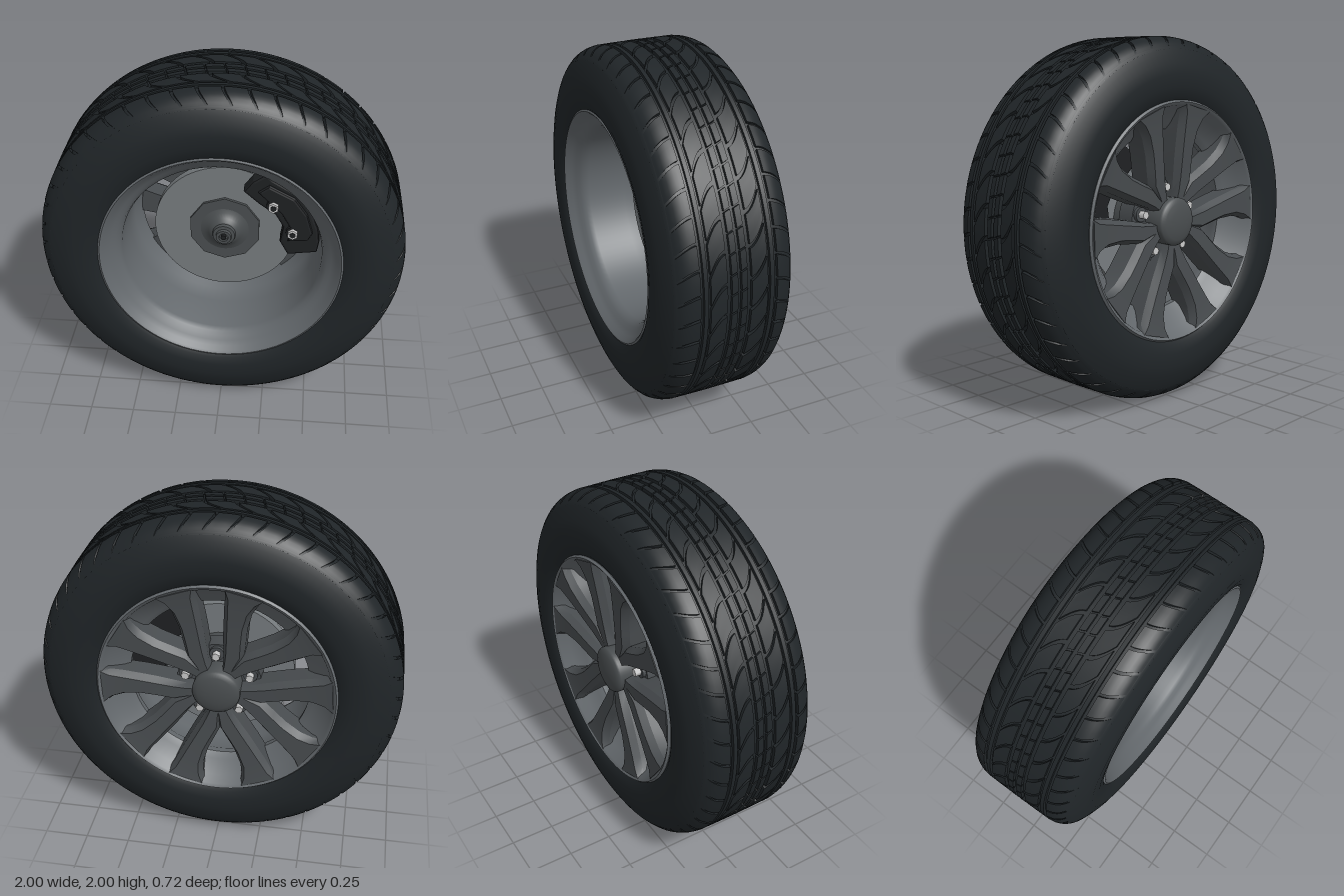
import * as THREE from 'three';
import { mergeGeometries, toCreasedNormals } from 'three/addons/utils/BufferGeometryUtils.js';

const mat = (color) => new THREE.MeshStandardMaterial({ color, side: THREE.DoubleSide });
const rubber = mat(0x202528), rimGrey = mat(0x64696d), spokeGrey = mat(0x484c4f);
const discGrey = mat(0x777c7f), hubGrey = mat(0x4a4e50), black = mat(0x1f2123), steel = mat(0xcccccc);

const V = (x, y, z) => new THREE.Vector3(x, y, z);
const polar = (r, a, z) => V(r * Math.cos(a), r * Math.sin(a), z);

function add(parent, name, geometry, material, x = 0, y = 0, z = 0) {
  const m = new THREE.Mesh(geometry, material);
  m.name = name;
  m.position.set(x, y, z);
  parent.add(m);
  return m;
}

// Closed solid through a list of equal-length loops, always wound outward
function loft(loops, crease = 0.5) {
  const pos = [], n = loops[0].length;
  let volume = 0;
  const tri = (a, b, c) => {
    pos.push(a, b, c);
    volume += a.dot(b.clone().cross(c));
  };
  for (let i = 0; i < loops.length - 1; i++) {
    for (let j = 0; j < n; j++) {
      const k = (j + 1) % n, A = loops[i], B = loops[i + 1];
      tri(A[j], A[k], B[k]);
      tri(A[j], B[k], B[j]);
    }
  }
  const first = loops[0], last = loops[loops.length - 1];
  for (let j = 1; j < n - 1; j++) {
    tri(first[0], first[j + 1], first[j]);
    tri(last[0], last[j], last[j + 1]);
  }
  if (volume < 0) for (let i = 0; i < pos.length; i += 3) [pos[i], pos[i + 1]] = [pos[i + 1], pos[i]];
  const g = new THREE.BufferGeometry().setFromPoints(pos);
  g.computeVertexNormals();
  return toCreasedNormals(g, crease);
}

// Surface of revolution about z from [radius, z] pairs
function turned(points, segments = 96, crease = 0.6) {
  const g = new THREE.LatheGeometry(points.map(([r, z]) => new THREE.Vector2(r, z)), segments);
  return toCreasedNormals(g.rotateX(Math.PI / 2), crease);
}

const disk = (r, h, n = 64) => new THREE.CylinderGeometry(r, r, h, n).rotateX(Math.PI / 2);

// Flat outline extruded along z with a small bevel
function plate(points, z0, z1, bevel) {
  const shape = new THREE.Shape(points.map(([x, y]) => new THREE.Vector2(x, y)));
  const g = new THREE.ExtrudeGeometry(shape, {
    depth: z1 - z0 - 2 * bevel, bevelThickness: bevel, bevelSize: bevel, bevelOffset: -bevel, bevelSegments: 2,
  });
  return g.translate(0, 0, z0 + bevel);
}

// Outer tread contour: radius at a given |z|
const contour = [[0, 1], [0.21, 0.998], [0.25, 0.989], [0.285, 0.97], [0.31, 0.942], [0.33, 0.9], [0.348, 0.85]];
function treadRadius(z) {
  const a = Math.abs(z);
  const i = Math.max(1, contour.findIndex(([q]) => q >= a));
  const [z0, r0] = contour[i - 1], [z1, r1] = contour[i];
  return r0 + (r1 - r0) * (a - z0) / (z1 - z0);
}
const DEPTH = 0.018;
const baseRadius = (z) => treadRadius(z) - DEPTH * THREE.MathUtils.clamp((0.318 - Math.abs(z)) / 0.09, 0, 1);

// One ring of slanted, curved tread blocks
function treadRow(z0, z1, count, gap, skew, bend) {
  const blocks = [], step = Math.PI * 2 / count, nz = 6, nt = 3;
  for (let b = 0; b < count; b++) {
    const loops = [];
    for (let i = 0; i <= nz; i++) {
      const t = i / nz, z = z0 + (z1 - z0) * t;
      const start = b * step + skew * (z - z0) + bend * t * t;
      const width = step - gap;
      const loop = [polar(baseRadius(z) - 0.006, start, z)];
      for (let j = 0; j <= nt; j++) loop.push(polar(treadRadius(z), start + width * j / nt, z));
      loop.push(polar(baseRadius(z) - 0.006, start + width, z));
      loops.push(loop);
    }
    blocks.push(loft(loops));
  }
  return mergeGeometries(blocks);
}

function buildTyre(wheel) {
  const tyre = new THREE.Group();
  tyre.name = 'tyre';
  wheel.add(tyre);
  const side = [[0.64, 0.29], [0.65, 0.325], [0.68, 0.345], [0.73, 0.357], [0.8, 0.36], [0.85, 0.348]];
  const crown = [0.33, 0.318, 0.31, 0.285, 0.25, 0.225, 0.2, 0.1].map((z) => [baseRadius(z), z]);
  const half = [...side, ...crown];
  const profile = [...half, ...half.map(([r, z]) => [r, -z]).reverse()].reverse();
  add(tyre, 'carcass', turned(profile, 128, 0.7), rubber);
  for (const s of [1, -1]) {
    add(tyre, 'shoulderBlocks', treadRow(s * 0.205, s * 0.316, 48, 0.016, -s * 0.15, -0.05), rubber);
    add(tyre, 'middleBlocks', treadRow(s * 0.065, s * 0.152, 38, 0.024, -0.3, -s * 0.08), rubber);
    add(tyre, 'centreBlocks', treadRow(s * 0.01, s * 0.042, 60, 0.01, -0.4, 0), rubber);
    const rib = [[0.97, 0.166], [0.998, 0.166], [0.998, 0.188], [0.97, 0.188]].map(([r, z]) => [r, s * z]);
    add(tyre, 'treadRib', turned(rib, 128), rubber);
  }
}

function buildRim(wheel) {
  add(wheel, 'rimBarrel', turned([
    [0.645, -0.3], [0.66, -0.335], [0.65, -0.347], [0.632, -0.335], [0.61, -0.28], [0.53, -0.23], [0.5, -0.2],
    [0.505, -0.16], [0.535, -0.11], [0.545, 0], [0.55, 0.22], [0.56, 0.25], [0.58, 0.27], [0.6, 0.285],
    [0.625, 0.305], [0.643, 0.33], [0.655, 0.34], [0.665, 0.335], [0.668, 0.3],
  ], 96, 0.9), rimGrey);

  // Spoke stations: radius, inner edge, outer edge, face z, rear z, bevel width
  const stations = [
    [0.11, 0.03, 0.078, -0.295, -0.14, 0.006], [0.17, 0.04, 0.108, -0.3, -0.14, 0.012],
    [0.25, 0.045, 0.155, -0.305, -0.15, 0.02], [0.34, 0.05, 0.17, -0.312, -0.16, 0.024],
    [0.42, 0.058, 0.182, -0.318, -0.165, 0.024], [0.52, 0.068, 0.212, -0.327, -0.18, 0.024],
    [0.59, 0.078, 0.25, -0.335, -0.24, 0.02], [0.64, 0.075, 0.29, -0.343, -0.29, 0.012],
  ];
  for (let k = 0; k < 5; k++) {
    const pair = new THREE.Group();
    pair.name = 'twinSpoke';
    pair.rotation.z = THREE.MathUtils.degToRad(-3 + 72 * k);
    wheel.add(pair);
    for (const s of [1, -1]) {
      const loops = stations.map(([r, a, b, face, rear, bevel]) => {
        const at = (x, z) => V(s * x, Math.sqrt(r * r - x * x), z);
        return [at(a, rear), at(a, face + 0.04), at(a + bevel, face), at(b - bevel, face),
          at(b, face + 0.04), at(b, rear)];
      });
      add(pair, 'spokeArm', loft(loops, 0.4), spokeGrey);
    }
    // Wheel nut in the root of the slot
    add(pair, 'nutSeat', disk(0.04, 0.03, 20), spokeGrey, 0, 0.187, -0.215);
    add(pair, 'wheelNut', disk(0.023, 0.06, 6), steel, 0, 0.187, -0.235);
  }
  add(wheel, 'wheelCentre', disk(0.235, 0.1, 48), spokeGrey, 0, 0, -0.16);
  // Domed centre cap
  add(wheel, 'centreCap', turned([
    [0.13, -0.2], [0.132, -0.318], [0.125, -0.328], [0.1, -0.338], [0.06, -0.346], [0, -0.35],
  ], 48, 0.9), hubGrey);
}

function buildBrake(wheel) {
  add(wheel, 'brakeDisc', disk(0.4, 0.05), discGrey, 0, 0, -0.03);
  add(wheel, 'discHat', disk(0.22, 0.1, 40), hubGrey, 0, 0, -0.09);
  // Ten-sided hub plate with a round, stepped axle stub
  add(wheel, 'hubPlate', disk(0.205, 0.022, 10), hubGrey);
  add(wheel, 'axleStub', turned([
    [0.14, 0.01], [0.115, 0.018], [0.09, 0.035], [0.075, 0.052], [0.066, 0.056], [0.062, 0.075], [0.045, 0.078],
    [0.042, 0.095], [0.026, 0.095], [0.024, 0.08], [0, 0.08],
  ], 40, 0.7), hubGrey);
  add(wheel, 'axleTip', disk(0.015, 0.025, 16), black, 0, 0, 0.085);

  const caliper = new THREE.Group();
  caliper.name = 'caliper';
  wheel.add(caliper);
  const outline = [[0.11, 0.32], [0.16, 0.39], [0.235, 0.44], [0.27, 0.405], [0.41, 0.32], [0.48, 0.22], [0.525, 0.1],
    [0.535, 0.01], [0.525, -0.06], [0.36, -0.085], [0.315, 0], [0.33, 0.1], [0.285, 0.18], [0.2, 0.24]];
  add(caliper, 'caliperFront', plate(outline, 0.015, 0.11, 0.015), black);
  add(caliper, 'caliperRear', plate(outline, -0.13, -0.065, 0.012), black);
  // Bridge over the disc edge
  const arc = (r, from, to) => [0, 1, 2, 3, 4, 5].map((i) => {
    const a = from + (to - from) * i / 5;
    return [r * Math.cos(a), r * Math.sin(a)];
  });
  add(caliper, 'caliperBridge', plate([...arc(0.52, -0.05, 1), ...arc(0.415, 1, -0.05)], -0.11, 0.06, 0.01), black);
  const raised = [[0.19, 0.33], [0.25, 0.375], [0.39, 0.3], [0.46, 0.2], [0.495, 0.08], [0.47, 0.03], [0.36, 0.02],
    [0.37, 0.11], [0.32, 0.2]];
  add(caliper, 'caliperRib', plate(raised, 0.09, 0.13, 0.012), black);
  for (const [x, y] of [[0.275, 0.25], [0.385, 0.08]]) {
    add(caliper, 'boltBoss', disk(0.038, 0.1, 20), black, x, y, 0.08);
    add(caliper, 'boltHead', disk(0.03, 0.03, 6), steel, x, y, 0.135);
    add(caliper, 'boltSocket', disk(0.018, 0.004, 6), black, x, y, 0.151);
  }
}

export function createModel() {
  const model = new THREE.Group();
  model.name = 'wheel';
  const wheel = new THREE.Group();
  wheel.name = 'wheelAssembly';
  wheel.position.y = 1;
  model.add(wheel);
  buildTyre(wheel);
  buildRim(wheel);
  buildBrake(wheel);
  return model;
}
